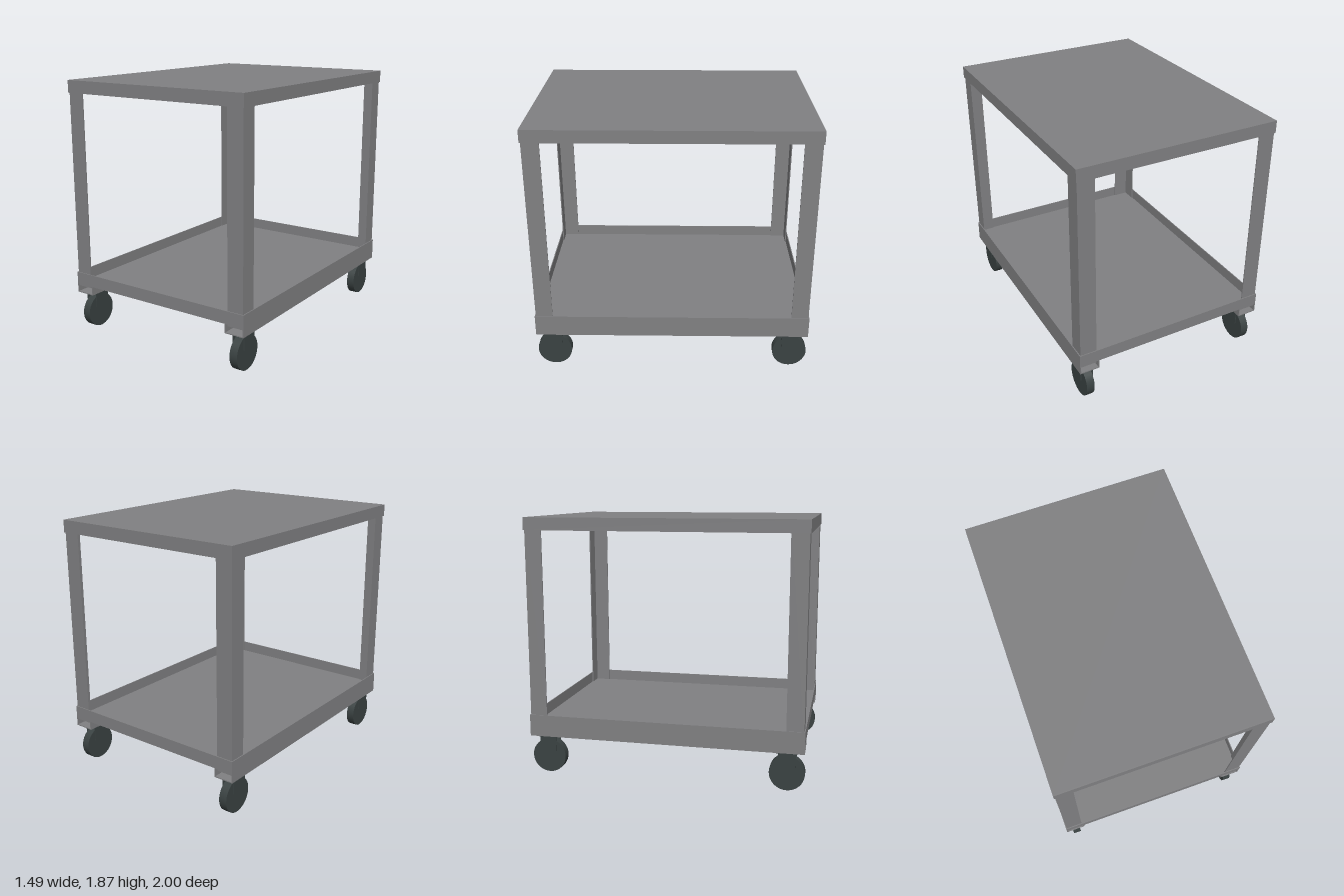
import * as THREE from 'three';

const steel = new THREE.MeshStandardMaterial({ color: 0x808082 });
steel.name = 'steel grey';
const rubber = new THREE.MeshStandardMaterial({ color: 0x3a4242 });
rubber.name = 'dark caster grey';

const T = 0.007; // sheet thickness
const W = 0.747; // half width
const D = 0.998; // half depth

// Box given by its min and max corners
function box(name, material, x0, x1, y0, y1, z0, z1) {
  const mesh = new THREE.Mesh(new THREE.BoxGeometry(x1 - x0, y1 - y0, z1 - z0), material);
  mesh.position.set((x0 + x1) / 2, (y0 + y1) / 2, (z0 + z1) / 2);
  mesh.name = name;
  return mesh;
}

// Flat outline pulled along its normal
function extrude(name, points, depth) {
  const shape = new THREE.Shape(points.map(([x, y]) => new THREE.Vector2(x, y)));
  const mesh = new THREE.Mesh(new THREE.ExtrudeGeometry(shape, { depth, bevelEnabled: false }), steel);
  mesh.name = name;
  return mesh;
}

// Sheet tray: a panel at panelY with a lip round the edge
function tray(name, panelY, lipY0, lipY1) {
  const group = new THREE.Group();
  group.name = name;
  group.add(box('panel', steel, -W + T, W - T, panelY, panelY + T, -D + T, D - T));
  for (const s of [-1, 1]) {
    const x = s * (W - T / 2), z = s * (D - T / 2);
    group.add(box('sideLip', steel, x - T / 2, x + T / 2, lipY0, lipY1, -D, D));
    group.add(box('endLip', steel, -W + T, W - T, lipY0, lipY1, z - T / 2, z + T / 2));
  }
  return group;
}

// Angle-section leg with its corner facing outward
function leg(sx, sz) {
  const x = W - T, z = D - T, w = 0.123;
  const outline = [[x, z], [x - w, z], [x - w, z - T], [x - T, z - T], [x - T, z - w], [x, z - w]];
  const mesh = extrude('leg', outline.map(([a, b]) => [a * sx, -b * sz]), 1.865 - 0.335);
  mesh.rotation.x = -Math.PI / 2;
  mesh.position.y = 0.335;
  return mesh;
}

// Folded rail below each long side of the shelf
function rail(s) {
  const inner = 0.598, bottom = 0.284;
  const outline = [
    [W, bottom], [W, 0.352], [W - T, 0.352], [W - T, bottom + T],
    [inner + T, bottom + T], [inner + T, 0.35], [inner, 0.35], [inner, bottom],
  ];
  const mesh = extrude('shelfRail', outline.map(([x, y]) => [x * s, y]), 2 * D);
  mesh.position.z = -D;
  return mesh;
}

// Caster: mounting plate, two fork cheeks and a wheel
function caster(sx, sz) {
  const group = new THREE.Group();
  group.name = 'caster';
  group.add(box('mountingPlate', rubber, -0.06, 0.06, 0.275, 0.284, -0.073, 0.073));
  for (const s of [-1, 1]) {
    const x = s * 0.0445;
    group.add(box('forkCheek', rubber, x - 0.0035, x + 0.0035, 0.165, 0.276, -0.062, 0.062));
  }
  const wheel = new THREE.Mesh(new THREE.CylinderGeometry(0.125, 0.125, 0.06, 40), rubber);
  wheel.rotation.z = Math.PI / 2;
  wheel.position.y = 0.125;
  wheel.name = 'wheel';
  group.add(wheel);
  group.position.set(sx * 0.668, 0, sz * 0.875);
  return group;
}

export function createModel() {
  const cart = new THREE.Group();
  cart.name = 'cart';
  cart.add(tray('tableTop', 1.871 - T, 1.781, 1.871));
  cart.add(tray('lowerShelf', 0.35, 0.35, 0.442));
  for (const sx of [-1, 1]) {
    cart.add(rail(sx));
    for (const sz of [-1, 1]) cart.add(leg(sx, sz), caster(sx, sz));
  }
  return cart;
}
